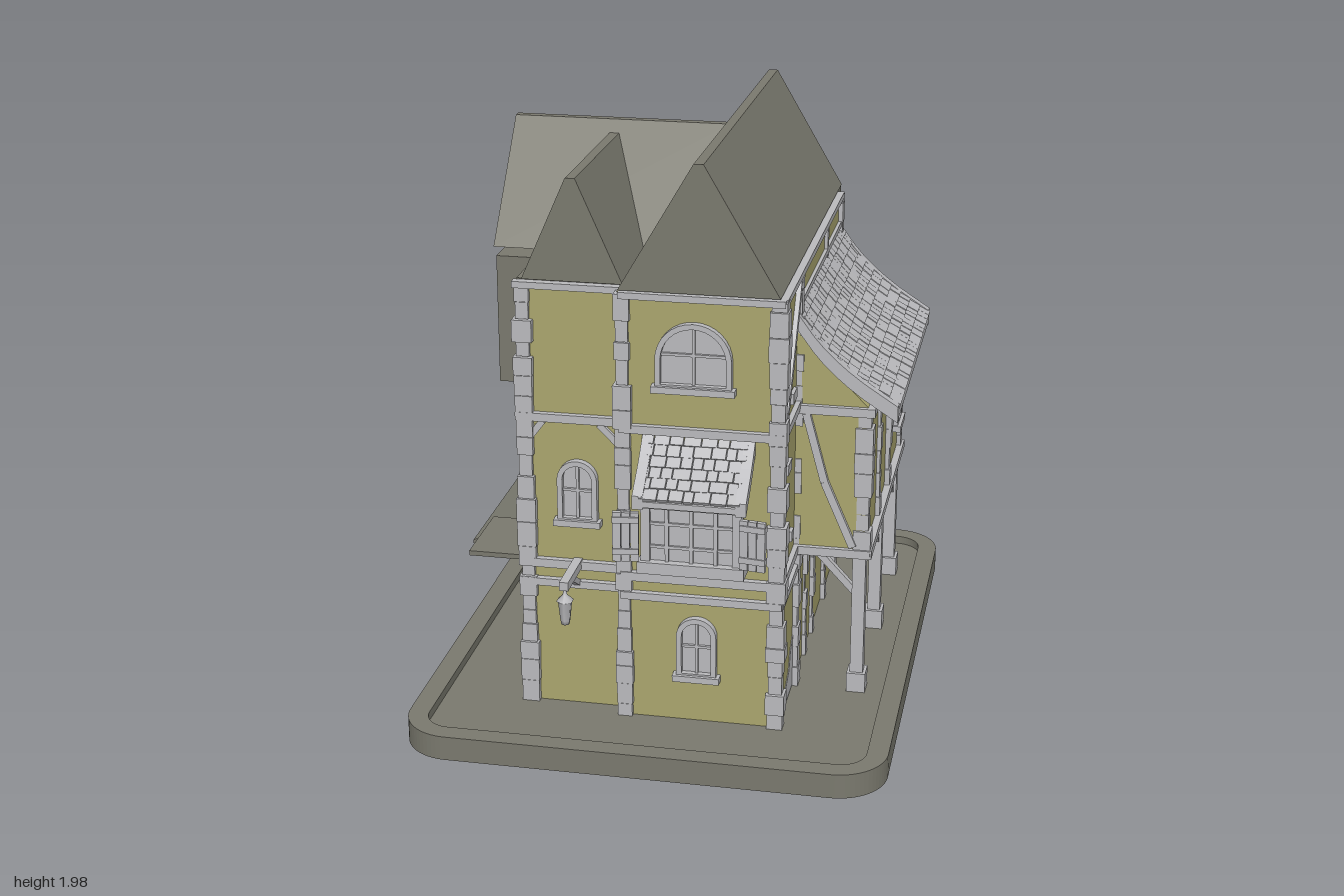
import * as THREE from 'three';
import { mergeGeometries } from 'three/addons/utils/BufferGeometryUtils.js';

export function createModel() {
  const root = new THREE.Group();
  root.name = 'timberHouse';
  const mat = (name, color) => {
    const m = new THREE.MeshStandardMaterial({ color });
    m.name = name;
    return m;
  };
  const slate = mat('slate', 0x7a796e);
  const plaster = mat('plaster', 0xaaa66e);
  const trim = mat('trim', 0xbababd);

  let seed = 7;
  const rnd = () => (seed = (seed * 16807) % 2147483647) / 2147483647;

  const add = (name, geo, m, parent = root) => {
    const mesh = new THREE.Mesh(geo, m);
    mesh.name = name;
    parent.add(mesh);
    return mesh;
  };
  const boxGeo = (x0, x1, y0, y1, z0, z1) =>
    new THREE.BoxGeometry(x1 - x0, y1 - y0, z1 - z0).translate((x0 + x1) / 2, (y0 + y1) / 2, (z0 + z1) / 2);
  const box = (name, m, x0, x1, y0, y1, z0, z1, parent) => add(name, boxGeo(x0, x1, y0, y1, z0, z1), m, parent);
  const poly = (pts) => new THREE.Shape(pts.map(([x, y]) => new THREE.Vector2(x, y)));
  const extrude = (shape, depth) => new THREE.ExtrudeGeometry(shape, { depth, bevelEnabled: false, curveSegments: 8 });

  // Straight timber between two points
  const beam = (name, a, b, w = 0.03) => {
    const p = new THREE.Vector3(...a), q = new THREE.Vector3(...b);
    const mesh = add(name, new THREE.BoxGeometry(w, w, p.distanceTo(q)), trim);
    mesh.position.copy(p).add(q).multiplyScalar(0.5);
    mesh.lookAt(q);
    return mesh;
  };
  // Post made of uneven stacked blocks
  const post = (name, x, z, y0, y1, w = 0.05) => {
    const parts = [];
    for (let y = y0; y < y1 - 0.001;) {
      const top = y1 - y < 0.1 ? y1 : y + 0.05 + rnd() * 0.04;
      const h = w / 2 + (rnd() - 0.5) * 0.012;
      parts.push(boxGeo(x - h, x + h, y, top - 0.002, z - h, z + h));
      y = top;
    }
    return add(name, mergeGeometries(parts), trim);
  };

  // Base plate with raised rim
  const rounded = (C, x, z, r) => {
    const s = new C();
    s.absarc(x - r, z - r, r, 0, Math.PI / 2);
    s.absarc(r - x, z - r, r, Math.PI / 2, Math.PI);
    s.absarc(r - x, r - z, r, Math.PI, Math.PI * 1.5);
    s.absarc(x - r, r - z, r, Math.PI * 1.5, Math.PI * 2);
    s.closePath();
    return s;
  };
  add('baseFloor', extrude(rounded(THREE.Shape, 0.81, 1, 0.17), 0.055).rotateX(-Math.PI / 2), slate);
  const rim = rounded(THREE.Shape, 0.81, 1, 0.17);
  rim.holes.push(rounded(THREE.Path, 0.74, 0.93, 0.09));
  add('baseRim', extrude(rim, 0.03).rotateX(-Math.PI / 2).translate(0, 0.055, 0), slate);

  // Main wall masses
  box('frontWingWalls', slate, -0.11, 0.41, 0.05, 1.56, -0.4, 0.66);
  box('rearGroundRoom', slate, -0.11, 0.41, 0.05, 0.55, -0.67, -0.4);
  box('rearUpperRoom', slate, -0.11, 0.41, 1.07, 1.56, -0.77, -0.4);
  box('sideWingWalls', slate, -0.46, -0.11, 0.05, 1.56, -0.39, 0.61);
  box('sideUpperRoom', slate, -0.63, -0.46, 1.07, 1.52, -0.36, 0.25);
  const oriel = poly([[0.76, 1.13], [0.88, 1.13], [0.88, 1.37], [0.76, 1.5]]);
  add('rearOriel', extrude(oriel, 0.28).rotateY(Math.PI / 2).translate(0, 0, 0.28), slate);

  // Plaster facings
  box('frontPlaster', plaster, -0.11, 0.41, 0.05, 1.55, 0.66, 0.668);
  box('sideWingPlaster', plaster, -0.45, -0.11, 0.05, 1.55, 0.61, 0.618);
  box('returnPlaster', plaster, -0.118, -0.11, 0.05, 1.55, 0.61, 0.66);
  box('porchPlaster', plaster, 0.41, 0.418, 0.05, 0.57, -0.67, 0.66);
  box('upperSidePlaster', plaster, 0.41, 0.418, 0.57, 1.55, -0.69, 0.66);

  // Gable roofs with narrow flat ridges
  const gable = (name, half, h, len) =>
    add(name, extrude(poly([[-half, 0], [half, 0], [0.016, h], [-0.016, h]]), len), slate);
  gable('mainRoof', 0.262, 0.42, 1.45).position.set(0.15, 1.56, -0.77);
  gable('smallFrontRoof', 0.167, 0.34, 0.65).position.set(-0.275, 1.56, -0.03);
  const cross = gable('crossRoof', 0.34, 0.38, 0.75);
  cross.rotation.y = Math.PI / 2;
  cross.position.set(-0.63, 1.56, -0.06);

  // Side canopies
  const canopy = poly([[-0.46, 0.57], [-0.75, 0.457], [-0.75, 0.443], [-0.46, 0.555]]);
  add('slopedCanopy', extrude(canopy, 0.59).translate(0, 0, -0.35), slate);
  box('flatCanopy', slate, -0.655, -0.45, 0.563, 0.58, 0.3, 0.6);

  // Lean-to room on posts
  const leanShape = poly([[0.41, 0.56], [0.66, 0.56], [0.66, 1.1], [0.6, 1.16], [0.5, 1.26], [0.41, 1.36]]);
  add('leanToWalls', extrude(leanShape, 1.04).translate(0, 0, -0.685), plaster);
  box('leanToBackLining', slate, 0.402, 0.41, 0.56, 1.07, -0.685, -0.4);

  // Shingled roof: profile in x-y, length along z
  const shingleRoof = (name, pts, len, rows, cols, thick) => {
    const g = new THREE.Group();
    g.name = name;
    root.add(g);
    const curve = new THREE.CatmullRomCurve3(pts.map(([x, y]) => new THREE.Vector3(x, y, 0)));
    const line = curve.getPoints(8).map((p) => [p.x, p.y]);
    const under = line.map(([x, y]) => [x, y - thick]).reverse();
    add(name + 'Deck', extrude(poly([...line, ...under]), len).translate(0, 0, -len / 2), trim, g);
    const parts = [], step = curve.getLength() / rows;
    for (let r = 0; r < rows; r++) {
      const p = curve.getPointAt((r + 0.5) / rows), t = curve.getTangentAt((r + 0.5) / rows);
      let z = -len / 2;
      while (z < len / 2 - 0.005) {
        const w = Math.min((len / cols) * (0.7 + rnd() * 0.6), len / 2 - z);
        const s = new THREE.BoxGeometry(step * 1.05, 0.012, w - 0.003);
        s.rotateZ(Math.atan2(t.y, t.x) + 0.1 - rnd() * 0.2 * 0.1);
        parts.push(s.translate(p.x, p.y + 0.006 + rnd() * 0.004, z + w / 2));
        z += w;
      }
    }
    add(name + 'Shingles', mergeGeometries(parts), trim, g);
    // Curved verge timbers at both ends
    const verge = poly([...line.map(([x, y]) => [x, y + 0.018]), ...under.map(([x, y]) => [x, y - 0.008])]);
    for (const z of [-len / 2 - 0.02, len / 2 - 0.015])
      add(name + 'Verge', extrude(verge, 0.035).translate(0, 0, z), trim, g);
    return g;
  };
  shingleRoof('leanToRoof', [[0.41, 1.42], [0.5, 1.3], [0.61, 1.2], [0.76, 1.1]], 1.05, 11, 22, 0.03)
    .position.z = -0.165;
  const bayRoof = shingleRoof('bayRoof', [[0.66, 1.07], [0.74, 0.99], [0.84, 0.91]], 0.33, 6, 7, 0.02);
  bayRoof.rotation.y = -Math.PI / 2;
  bayRoof.position.x = 0.15;

  // Corner and wall posts
  post('leftCornerPost', -0.44, 0.61, 0.05, 1.55, 0.055);
  post('middlePost', -0.1, 0.66, 0.05, 1.55, 0.05);
  post('rightCornerPost', 0.41, 0.66, 0.05, 1.55, 0.055);
  for (const z of [0.33, -0.66]) post('wallPost', 0.41, z, 0.05, z > 0 ? 1.55 : 0.57, 0.055);
  for (const z of [0.1, -0.08, -0.38]) post('porchWallPost', 0.412, z, 0.05, 0.57, 0.035);
  for (const z of [0.33, -0.18, -0.66]) {
    box('porchPost', trim, 0.62, 0.665, 0.05, 0.57, z - 0.024, z + 0.024);
    box('porchPostFoot', trim, 0.61, 0.675, 0.05, 0.125, z - 0.036, z + 0.036);
  }
  for (const z of [0.335, 0.03, -0.26, -0.66]) post('leanToPost', 0.65, z, 0.58, 1.09, 0.052);
  box('clerestoryPost', trim, 0.41, 0.43, 1.42, 1.54, -0.31, -0.28);
  post('clerestoryEndPost', 0.412, -0.67, 1.07, 1.55, 0.045);

  // Horizontal timbers
  for (const [y, h] of [[0.575, 0.03], [0.505, 0.026], [1.095, 0.028], [1.545, 0.022]]) {
    box('frontBeam', trim, -0.11, 0.43, y - h / 2, y + h / 2, 0.66, 0.69);
    box('sideWingBeam', trim, -0.47, -0.1, y - h / 2, y + h / 2, 0.61, 0.64);
    box('rightWallBeam', trim, 0.41, 0.435, y - h / 2, y + h / 2, y === 1.095 ? 0.35 : -0.68, 0.67);
  }
  box('clerestoryBeam', trim, 0.41, 0.43, 1.43, 1.45, -0.68, 0.35);
  for (const y of [0.575, 1.085]) {
    box('leanToSideBeam', trim, 0.65, 0.685, y - 0.015, y + 0.015, -0.7, 0.37);
    for (const z of [0.355, -0.685]) box('leanToEndBeam', trim, 0.41, 0.68, y - 0.015, y + 0.015, z - 0.018, z + 0.018);
  }

  // Diagonal braces
  beam('upperBrace', [0.42, 1.12, 0.645], [0.42, 1.52, 0.36], 0.028);
  for (const z of [0.36, -0.69]) {
    beam('leanToBrace', [0.455, 1.07, z], [0.52, 0.83, z], 0.026);
    beam('leanToBrace', [0.52, 0.83, z], [0.62, 0.6, z], 0.026);
  }
  for (const [z, d] of [[0.33, -1], [-0.18, 1], [-0.18, -1], [-0.66, 1]]) {
    beam('porchBrace', [0.642, 0.39, z], [0.642, 0.56, z + d * 0.16], 0.026);
  }
  for (const z of [0.33, -0.18, -0.66]) beam('porchCrossBrace', [0.63, 0.42, z], [0.5, 0.56, z], 0.024);
  beam('smallBrace', [-0.19, 1.08, 0.62], [-0.11, 1.0, 0.62], 0.022);
  beam('smallBrace', [-0.38, 1.08, 0.62], [-0.44, 1.0, 0.62], 0.022);

  // Arched window facing local +z, origin at sill centre
  const archWindow = (name, w, h) => {
    const g = new THREE.Group();
    g.name = name;
    root.add(g);
    const arch = (C, half, y0, top) => {
      const s = new C();
      s.moveTo(-half, y0);
      s.lineTo(half, y0);
      s.lineTo(half, top - half);
      s.absarc(0, top - half, half, 0, Math.PI);
      s.closePath();
      return s;
    };
    const t = 0.018, half = w / 2;
    const frame = arch(THREE.Shape, half, 0, h);
    frame.holes.push(arch(THREE.Path, half - t, t, h - t));
    add('windowFrame', extrude(frame, 0.028), trim, g);
    add('windowPane', extrude(arch(THREE.Shape, half - t, t, h - t), 0.008), trim, g);
    box('windowMullion', trim, -0.005, 0.005, t, h - t, 0, 0.018, g);
    box('windowBar', trim, t - half, half - t, h * 0.5, h * 0.5 + 0.009, 0, 0.018, g);
    box('windowSill', trim, -half - 0.012, half + 0.012, -0.01, 0.012, 0, 0.04, g);
    return g;
  };
  archWindow('upperWindow', 0.25, 0.225).position.set(0.135, 1.24, 0.665);
  archWindow('sideWingWindow', 0.135, 0.22).position.set(-0.265, 0.73, 0.615);
  archWindow('groundWindow', 0.135, 0.22).position.set(0.145, 0.22, 0.665);
  const leanWindow = archWindow('leanToWindow', 0.135, 0.21);
  leanWindow.rotation.y = Math.PI / 2;
  leanWindow.position.set(0.658, 0.745, -0.47);

  // Projecting bay window with open shutters
  box('bayBody', plaster, 0.0, 0.3, 0.68, 0.94, 0.66, 0.785);
  box('baySill', trim, -0.025, 0.325, 0.65, 0.69, 0.66, 0.82);
  box('bayHead', trim, -0.015, 0.315, 0.875, 0.905, 0.66, 0.81);
  for (const x of [0.0, 0.3]) box('bayPost', trim, x - 0.015, x + 0.015, 0.68, 0.89, 0.77, 0.805);
  box('bayPane', trim, 0.015, 0.285, 0.69, 0.88, 0.785, 0.792);
  for (const x of [0.07, 0.15, 0.23]) box('bayMullion', trim, x - 0.006, x + 0.006, 0.69, 0.88, 0.79, 0.802);
  for (const y of [0.74, 0.82]) box('bayBar', trim, 0.015, 0.285, y - 0.005, y + 0.005, 0.79, 0.8);
  for (const s of [-1, 1]) {
    const shutter = new THREE.Group();
    shutter.name = 'shutter';
    for (let i = 0; i < 3; i++) box('shutterPlank', trim, i * 0.029, i * 0.029 + 0.027, -0.085, 0.085, -0.008, 0.008, shutter);
    for (const y of [-0.06, 0.05]) box('shutterRail', trim, 0, 0.086, y, y + 0.02, -0.013, 0.013, shutter);
    shutter.position.set(0.15 + s * 0.165, 0.785, 0.83);
    shutter.rotation.y = s > 0 ? -0.15 : Math.PI + 0.15;
    root.add(shutter);
  }

  // Hanging lantern on a bracket
  box('lanternArm', trim, -0.285, -0.255, 0.565, 0.595, 0.61, 0.82);
  beam('lanternBrace', [-0.27, 0.51, 0.63], [-0.27, 0.57, 0.73], 0.02);
  const lantern = [[0, 0.435], [0.014, 0.44], [0.017, 0.455], [0.024, 0.52], [0.03, 0.525], [0.008, 0.545], [0.005, 0.57]];
  add('lantern', new THREE.LatheGeometry(lantern.map(([x, y]) => new THREE.Vector2(x, y)), 6).translate(-0.27, 0, 0.805), trim);

  // Exposed stones and bare patches on the right wall
  for (const [z, y, w] of [[0.45, 1.16, 0.075], [0.54, 0.945, 0.075], [0.46, 0.67, 0.04], [-0.32, 0.455, 0.075], [-0.335, 0.42, 0.04]])
    box('exposedStone', trim, 0.41, 0.43, y - 0.018, y + 0.018, z - w / 2, z + w / 2);
  const patch = (name, x, pts) =>
    add(name, extrude(poly(pts.map(([z, y]) => [-z, y])), 0.006).rotateY(Math.PI / 2).translate(x, 0, 0), trim);
  patch('barePatch', 0.415, [[0.53, 0.06], [0.36, 0.06], [0.36, 0.25], [0.41, 0.21], [0.44, 0.15], [0.5, 0.12]]);
  patch('barePatch', 0.657, [[0.31, 0.59], [0.2, 0.59], [0.23, 0.65], [0.26, 0.74], [0.31, 0.78]]);

  return root;
}
